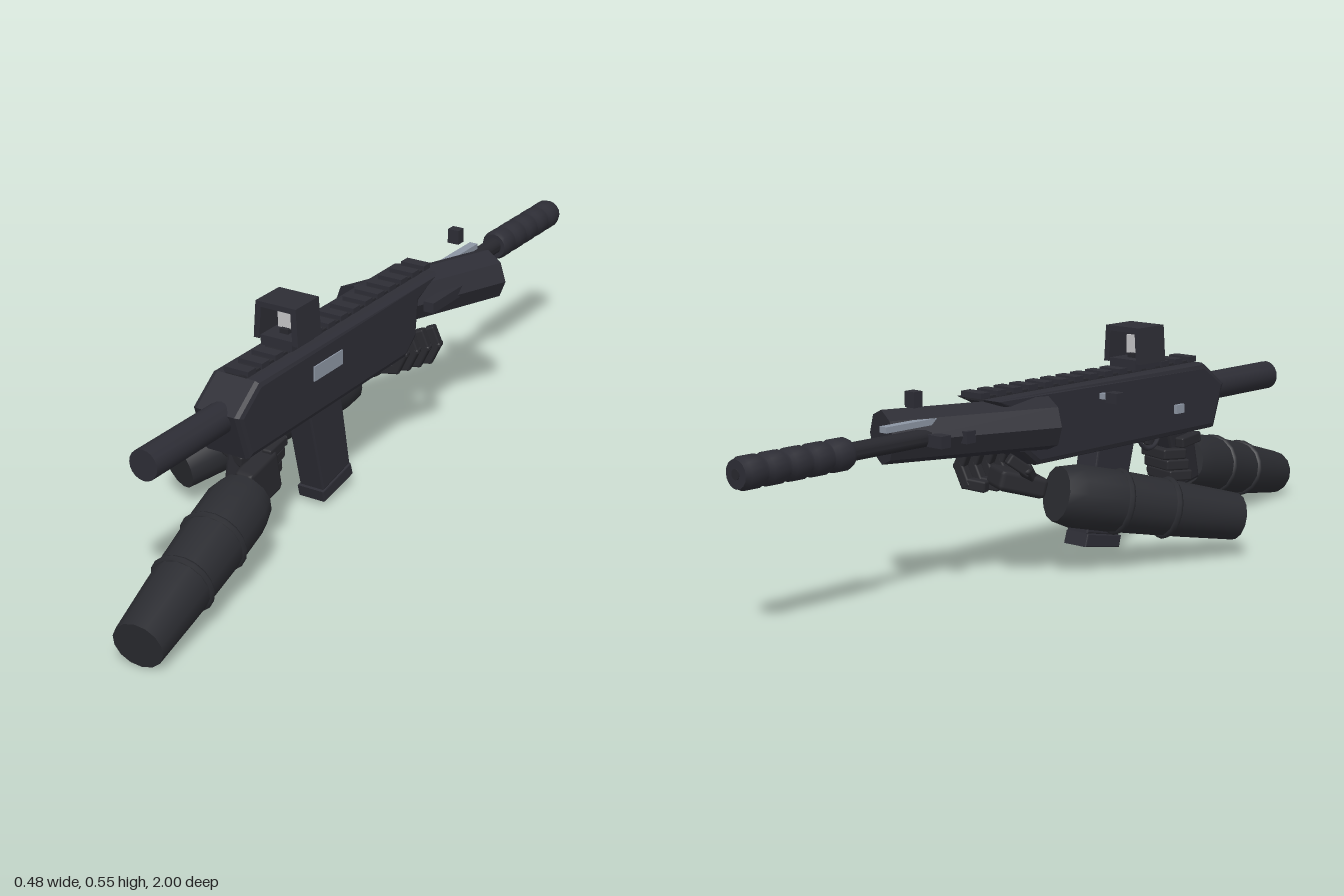
import * as THREE from 'three';
import { toCreasedNormals } from 'three/addons/utils/BufferGeometryUtils.js';
import { RoundedBoxGeometry } from 'three/addons/geometries/RoundedBoxGeometry.js';

const mat = (name, color) => Object.assign(new THREE.MeshStandardMaterial({ color }), { name });
const V = (p) => new THREE.Vector3(...p);
const CX = 0.076; // centre plane of the rifle

export function createModel() {
  const model = new THREE.Group();
  const gunmetal = mat('gunmetal', 0x2d2d35);
  const darkSteel = mat('dark steel', 0x28282e);
  const sleeveCloth = mat('sleeve cloth', 0x2b2c31);
  const gloveCloth = mat('glove cloth', 0x29292e);
  const bareSteel = mat('bare steel', 0x8c95a3);
  const glass = mat('glass', 0xc4c4c6);

  const add = (name, geo, material, pos = [0, 0, 0], parent = model) => {
    const mesh = new THREE.Mesh(geo, material);
    mesh.name = name;
    mesh.position.set(...pos);
    parent.add(mesh);
    return mesh;
  };
  const box = (name, size, pos, material = gunmetal, parent = model) =>
    add(name, new THREE.BoxGeometry(...size), material, pos, parent);

  // Solid of revolution along the line a-b; profile is [radius, fraction of length]
  const turned = (name, a, b, profile, sides, material, crease = 0.6) => {
    const length = V(a).distanceTo(V(b));
    const pts = [[0, profile[0][1]], ...profile, [0, profile.at(-1)[1]]]
      .map(([r, t]) => new THREE.Vector2(r, t * length));
    const geo = toCreasedNormals(new THREE.LatheGeometry(pts, sides).rotateX(Math.PI / 2), crease);
    const mesh = add(name, geo, material, a);
    mesh.lookAt(V(b));
    return mesh;
  };

  // Side outline of [z, y] points, extruded across x
  const slab = (name, outline, width, material, bevel) => {
    const shape = new THREE.Shape(outline.map(([z, y]) => new THREE.Vector2(z, y)));
    const geo = new THREE.ExtrudeGeometry(shape, {
      depth: width - 2 * bevel, bevelEnabled: bevel > 0, bevelSize: bevel,
      bevelThickness: bevel, bevelOffset: -bevel, bevelSegments: 2,
    });
    geo.translate(0, 0, bevel - width / 2).rotateY(-Math.PI / 2);
    return add(name, toCreasedNormals(geo, 0.3), material, [CX, 0, 0]);
  };

  // Receiver, stock tube and magazine
  slab('receiver', [[0.51, 0.272], [0.55, 0.385], [0.47, 0.443], [-0.3, 0.443],
    [-0.21, 0.4], [-0.2, 0.31], [-0.15, 0.272]], 0.127, gunmetal, 0.014);
  turned('stockTube', [CX, 0.367, 0.5], [CX, 0.367, 0.807], [[0.036, 0], [0.036, 1]], 20, gunmetal);
  slab('magazine', [[0.235, 0.29], [0.17, 0.045], [0.055, 0.07], [0.1, 0.29]], 0.066, gunmetal, 0.004);
  slab('magazineFloor', [[0.178, 0.045], [0.17, 0.016], [0.045, 0.038], [0.055, 0.07]], 0.072, gunmetal, 0.003);
  slab('pistolGrip', [[0.47, 0.28], [0.5, 0.14], [0.42, 0.125], [0.37, 0.28]], 0.05, darkSteel, 0.008);
  const guard = add('triggerGuard', new THREE.TorusGeometry(0.038, 0.006, 6, 16, Math.PI), gunmetal, [CX, 0.275, 0.325]);
  guard.rotation.set(Math.PI, Math.PI / 2, 0);
  box('trigger', [0.01, 0.03, 0.01], [CX, 0.262, 0.33], darkSteel);

  // Fittings on the sides
  box('ejectionPort', [0.006, 0.036, 0.118], [0.1395, 0.383, 0.2], bareSteel);
  box('sideRail', [0.028, 0.026, 0.14], [0.151, 0.378, -0.3]);
  box('chargingRod', [0.04, 0.014, 0.014], [0.005, 0.41, 0.07], bareSteel);
  box('chargingKnob', [0.034, 0.025, 0.03], [-0.031, 0.41, 0.07]);
  box('selector', [0.012, 0.022, 0.03], [0.009, 0.341, 0.36], bareSteel);

  // Top rail
  box('railBase', [0.055, 0.01, 0.77], [CX, 0.444, 0.085], darkSteel);
  for (let i = 0; i < 15; i++) box('railTooth', [0.064, 0.013, 0.03], [CX, 0.452, 0.455 - i * 0.0535]);

  // Optic: base, hood with open ends, glass
  box('opticBase', [0.083, 0.024, 0.09], [CX, 0.463, 0.268]);
  box('opticStem', [0.022, 0.012, 0.03], [CX, 0.48, 0.268], darkSteel);
  const hood = new THREE.Shape([[-0.059, 0.466], [-0.044, 0.466], [-0.039, 0.542], [0.039, 0.542],
    [0.044, 0.466], [0.059, 0.466], [0.053, 0.555], [-0.053, 0.555]].map((p) => new THREE.Vector2(...p)));
  add('opticHood', new THREE.ExtrudeGeometry(hood, { depth: 0.094, bevelEnabled: false }), gunmetal, [CX, 0, 0.221]);
  box('opticGlass', [0.046, 0.045, 0.008], [CX, 0.507, 0.268], glass);

  // Angled fore grip body
  const fore = turned('handguard', [0.0, 0.373, -0.13], [0.155, 0.373, -0.515],
    [[0.066, 0], [0.066, 1]], 8, gunmetal, 0.3);
  fore.scale.set(1.08, 0.95, 1);

  // Barrel, gas rod, sight post and suppressor
  turned('barrel', [CX, 0.374, -0.2], [CX, 0.374, -0.72], [[0.021, 0], [0.021, 1]], 14, darkSteel);
  box('gasRod', [0.022, 0.014, 0.24], [CX, 0.409, -0.465], bareSteel);
  box('frontSight', [0.03, 0.036, 0.026], [CX, 0.466, -0.49]);
  for (const z of [-0.37, -0.45]) box('barrelLug', [0.045, 0.028, 0.03], [0.038, 0.37, z]);
  const cans = [];
  for (let i = 0; i < 5; i++) {
    const t = i / 5;
    cans.push([0.032, t], [0.037, t + 0.035], [0.037, t + 0.155], [0.032, t + 0.19]);
  }
  turned('suppressor', [CX, 0.373, -0.692], [CX, 0.373, -1.0], [...cans, [0.032, 1]], 16, gunmetal);
  turned('muzzleBore', [CX, 0.373, -0.995], [CX, 0.373, -1.002], [[0.012, 0], [0.012, 1]], 12, darkSteel);

  // Sleeves: tapered forearms with two raised bands
  const sleeve = (name, wrist, elbow, bands) => {
    const cloth = [[0.066, 0], [0.076, 0.09], [0.075, 0.3], [0.07, 0.55], [0.066, 0.72], [0.058, 1]];
    turned(name, wrist, elbow, cloth, 14, sleeveCloth);
    for (const t of bands) {
      const r = 0.081 - 0.017 * t;
      const band = add(name + 'Band', new THREE.TorusGeometry(r - 0.004, 0.009, 6, 18), sleeveCloth,
        V(wrist).lerp(V(elbow), t).toArray());
      band.lookAt(V(elbow));
    }
  };
  sleeve('rearSleeve', [0.118, 0.172, 0.505], [0.184, 0.062, 0.985], [0.31, 0.6]);
  sleeve('frontSleeve', [-0.015, 0.205, -0.12], [-0.187, 0.1, 0.335], [0.33, 0.6]);

  // Gloved hands: fingers are chains of square segments
  const finger = (name, points, thick = 0.027) => {
    for (let i = 0; i + 1 < points.length; i++) {
      const a = V(points[i]), b = V(points[i + 1]);
      const seg = add(name, new RoundedBoxGeometry(thick, thick, a.distanceTo(b) + thick * 0.8, 1, 0.005),
        gloveCloth, a.clone().lerp(b, 0.5).toArray());
      seg.lookAt(b);
    }
  };
  const palm = (name, size, pos, toward) =>
    add(name, new RoundedBoxGeometry(...size, 1, 0.012), gloveCloth, pos).lookAt(V(toward));

  // Rear hand wraps the pistol grip
  palm('rearPalm', [0.05, 0.105, 0.11], [0.118, 0.195, 0.45], [0.118, 0.172, 0.56]);
  for (let i = 0; i < 3; i++) {
    const y = 0.225 - i * 0.029, z = 0.012 * i;
    finger('rearFinger', [[0.122, y, 0.41 + z], [0.112, y, 0.362 + z], [0.05, y - 0.004, 0.358 + z], [0.035, y - 0.006, 0.4 + z]]);
  }
  finger('rearIndex', [[0.125, 0.25, 0.42], [0.12, 0.255, 0.36], [0.09, 0.255, 0.34]], 0.024);
  finger('rearThumb', [[0.09, 0.245, 0.47], [0.03, 0.255, 0.45], [0.025, 0.25, 0.39]]);

  // Front hand cups the handguard from below
  palm('frontPalm', [0.1, 0.05, 0.12], [0.035, 0.24, -0.2], [-0.015, 0.21, -0.1]);
  for (let i = 0; i < 4; i++) {
    const x = 0.012 * i, z = -0.155 - i * 0.032;
    finger('frontFinger', [[0.06 + x, 0.228, z], [0.1 + x, 0.232, z - 0.012], [0.118 + x, 0.272, z - 0.015], [0.105 + x, 0.305, z - 0.012]]);
  }
  finger('frontThumb', [[0.0, 0.245, -0.19], [-0.012, 0.275, -0.22], [0.005, 0.3, -0.25]]);

  return model;
}
